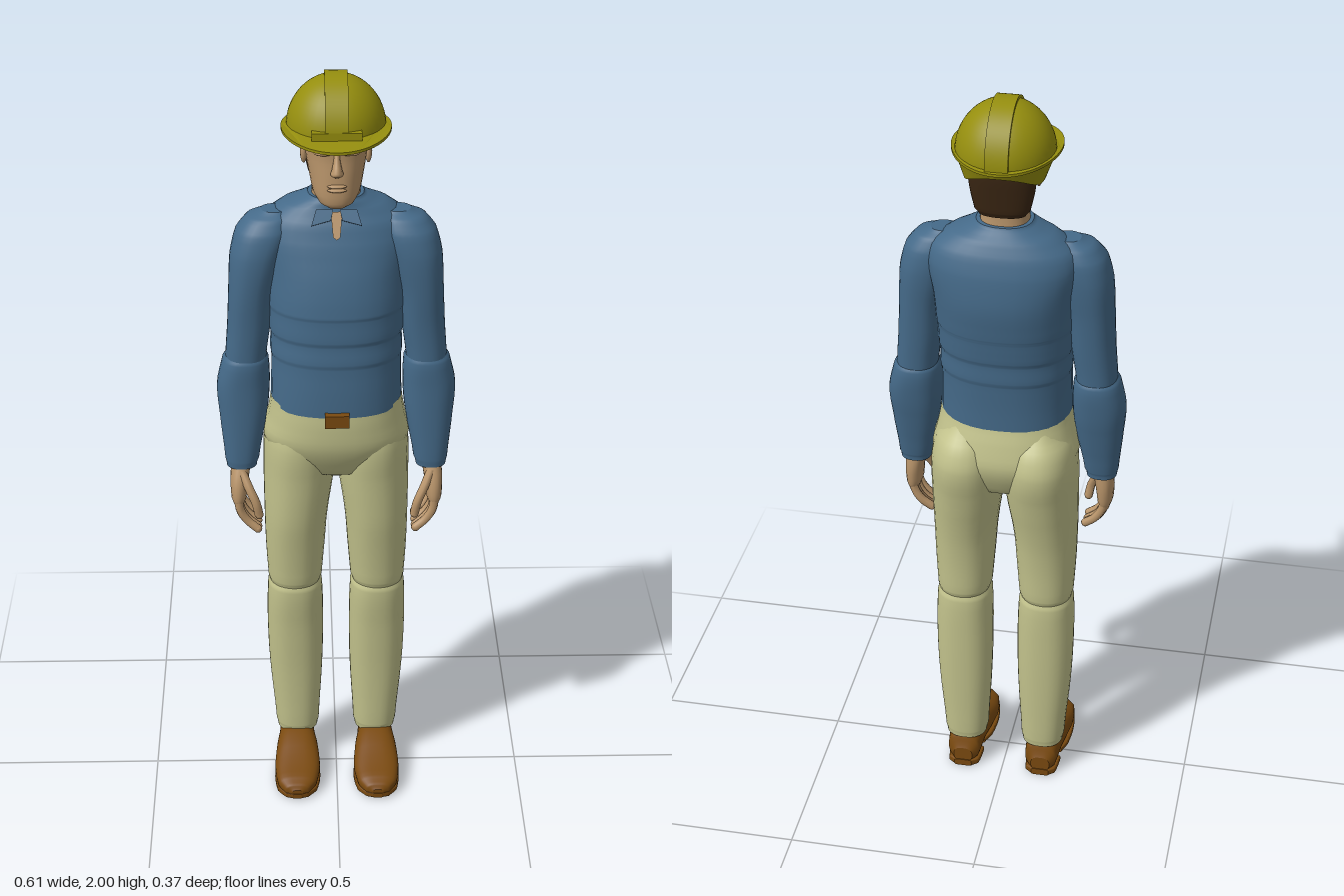
import * as THREE from 'three';

const mat = (name, color, side = THREE.FrontSide) => {
  const m = new THREE.MeshStandardMaterial({ color, side });
  m.name = name;
  return m;
};

// Catmull-Rom blend of one component
const blend = (a, b, c, d, t) =>
  0.5 * (2 * b + (c - a) * t + (2 * a - 5 * b + 4 * c - d) * t * t + (3 * b - a - 3 * c + d) * t * t * t);

// Loft through sections [t, x0, x1, v0, v1]. Along y, v is z; along z, v is y.
// side -1 mirrors in x; exp is the squareness of the cross-section.
function loft(sections, { side = 1, exp = 2.3, along = 'y', steps = 4, seg = 32 } = {}) {
  const S = sections.map(([t, a, b, c, d]) => (side < 0 ? [t, -b, -a, c, d] : [t, a, b, c, d]));
  const rows = [];
  for (let i = 0; i < S.length - 1; i++)
    for (let k = 0; k < steps; k++) {
      const q = [S[Math.max(i - 1, 0)], S[i], S[i + 1], S[Math.min(i + 2, S.length - 1)]];
      rows.push(S[i].map((_, c) => (c === 0
        ? S[i][0] + (S[i + 1][0] - S[i][0]) * k / steps
        : blend(q[0][c], q[1][c], q[2][c], q[3][c], k / steps))));
    }
  rows.push(S[S.length - 1]);
  const pos = [], idx = [];
  const put = (x, t, v) => (along === 'y' ? pos.push(x, t, v) : pos.push(x, v, t));
  const flip = along === 'y' ? 1 : -1;
  const ring = ([t, x0, x1, v0, v1]) => {
    for (let i = 0; i < seg; i++) {
      const a = i / seg * Math.PI * 2, c = Math.cos(a), s = Math.sin(a), p = 2 / exp;
      put((x0 + x1) / 2 + (x1 - x0) / 2 * Math.sign(c) * Math.abs(c) ** p, t,
        (v0 + v1) / 2 + flip * (v1 - v0) / 2 * Math.sign(s) * Math.abs(s) ** p);
    }
  };
  rows.forEach(ring);
  for (let j = 0; j < rows.length - 1; j++)
    for (let i = 0; i < seg; i++) {
      const n = (i + 1) % seg, a = j * seg + i, b = j * seg + n;
      idx.push(a, a + seg, b, b, a + seg, b + seg);
    }
  // end caps
  [rows[0], rows[rows.length - 1]].forEach((r, top) => {
    const base = pos.length / 3;
    ring(r);
    put((r[1] + r[2]) / 2, r[0], (r[3] + r[4]) / 2);
    for (let i = 0; i < seg; i++) {
      const a = base + i, b = base + (i + 1) % seg;
      top ? idx.push(base + seg, b, a) : idx.push(base + seg, a, b);
    }
  });
  const g = new THREE.BufferGeometry();
  g.setAttribute('position', new THREE.Float32BufferAttribute(pos, 3));
  g.setIndex(idx);
  g.computeVertexNormals();
  return g;
}

const sym = rows => rows.map(([t, w, a, b]) => [t, -w, w, a, b]);

export function createModel() {
  const model = new THREE.Group();
  const yellow = mat('helmet yellow', 0x958e0e, THREE.DoubleSide);
  const blue = mat('shirt blue', 0x456a89);
  const khaki = mat('trouser khaki', 0xc2c28c);
  const skin = mat('skin', 0xb8946a, THREE.DoubleSide);
  const brown = mat('leather brown', 0x7a4a10);
  const dark = mat('hair brown', 0x3a2613);
  const blueFlat = mat('collar blue', 0x456a89, THREE.DoubleSide);
  const add = (name, geo, m, parent = model) => {
    const mesh = new THREE.Mesh(geo, m);
    mesh.name = name;
    parent.add(mesh);
    return mesh;
  };

  // Torso with soft folds at the waist
  add('shirtBody', loft(sym([
    [1.14, .168, -.146, .108], [1.2, .166, -.147, .106], [1.27, .165, -.151, .102], [1.285, .168, -.155, .104],
    [1.33, .166, -.156, .100], [1.345, .170, -.161, .103], [1.4, .171, -.168, .100], [1.415, .174, -.172, .101],
    [1.5, .178, -.182, .085], [1.58, .190, -.175, .06], [1.63, .178, -.16, .04],
    [1.665, .132, -.14, .022], [1.685, .085, -.12, .018], [1.695, .07, -.112, .014]])), blue);

  // Pelvis and belt buckle
  add('trouserHips', loft(sym([
    [.92, .05, -.09, .01], [.95, .12, -.14, .06], [1.03, .187, -.172, .1],
    [1.1, .177, -.16, .108], [1.155, .168, -.143, .106]])), khaki);
  add('buckle', new THREE.BoxGeometry(.062, .034, .03), brown).position.set(0, 1.138, .111);

  for (const side of [1, -1]) {
    const limb = new THREE.Group();
    limb.name = side > 0 ? 'leftLimbs' : 'rightLimbs';
    model.add(limb);

    // Sleeves
    add('upperSleeve', loft([
      [1.25, .178, .282, -.085, .032], [1.35, .165, .275, -.092, .036], [1.45, .155, .27, -.1, .044],
      [1.54, .13, .265, -.108, .046], [1.6, .11, .25, -.105, .036], [1.635, .11, .222, -.09, .015],
      [1.652, .12, .185, -.07, -.01]], { side }), blue, limb);
    add('foreSleeve', loft([
      [.955, .206, .284, -.04, .036], [.975, .2, .288, -.045, .038], [1.1, .178, .3, -.07, .037],
      [1.18, .17, .305, -.085, .036], [1.25, .172, .29, -.09, .036], [1.275, .185, .272, -.075, .025]], { side }), blue, limb);

    // Hand with curled fingers
    add('palm', loft([
      [.845, .243, .266, -.02, .05], [.87, .234, .274, -.03, .06], [.92, .228, .276, -.035, .052],
      [.98, .218, .27, -.03, .025]], { side, seg: 20 }), skin, limb);
    const digit = (name, pts, r) => {
      const path = new THREE.CatmullRomCurve3(pts.map(([x, y, z]) => new THREE.Vector3(x * side, y, z)));
      add(name, new THREE.TubeGeometry(path, 10, r, 8), skin, limb);
      add(name + 'Tip', new THREE.SphereGeometry(r, 8, 6), skin, limb).position.copy(path.getPoint(1));
    };
    [.048, .027, .005, -.016].forEach((z, i) => {
      const up = [.004, 0, .004, .016][i];
      digit('finger', [[.255, .88, z], [.25, .835 + up, z], [.232, .805 + up, z], [.206, .783 + up, z + .004]], .0115);
    });
    digit('thumb', [[.245, .945, .03], [.225, .905, .055], [.209, .87, .065], [.202, .835, .063]], .0115);

    // Trouser leg
    add('thigh', loft([
      [.575, .046, .176, -.114, .028], [.6, .038, .182, -.122, .036], [.7, .03, .187, -.128, .05],
      [.8, .022, .189, -.142, .066], [.93, .004, .19, -.17, .077], [1.02, .002, .188, -.187, .085],
      [1.08, .012, .176, -.17, .075], [1.13, .04, .145, -.13, .05]], { side, exp: 2.2 }), khaki, limb);
    add('shin', loft([
      [.095, .052, .162, -.11, -.002], [.115, .048, .166, -.113, .002], [.3, .038, .181, -.119, .01],
      [.45, .035, .186, -.122, .022], [.57, .038, .183, -.122, .034], [.6, .05, .172, -.112, .025]], { side }), khaki, limb);

    // Shoe, sole and heel
    add('shoe', loft([
      [-.117, .083, .135, .014, .06], [-.1, .065, .152, .01, .1], [-.03, .06, .158, .01, .108],
      [.02, .052, .165, .01, .1], [.09, .047, .17, .008, .074], [.15, .058, .162, .008, .056],
      [.176, .077, .143, .01, .044], [.184, .095, .125, .014, .032]], { side, along: 'z', exp: 2.6 }), brown, limb);
    add('sole', loft([
      [-.02, .066, .154, .004, .018], [.02, .052, .166, 0, .018], [.09, .046, .171, 0, .018],
      [.15, .056, .163, .002, .02], [.178, .078, .142, .004, .02], [.186, .098, .122, .006, .02]], { side, along: 'z', exp: 6 }), brown, limb);
    add('heel', loft([
      [-.119, .085, .133, 0, .02], [-.105, .067, .15, 0, .02], [-.05, .062, .156, 0, .02]],
    { side, along: 'z', exp: 6 }), brown, limb);

    // Ear, brow and collar wing
    const ear = add('ear', new THREE.SphereGeometry(1, 12, 10), skin);
    ear.scale.set(.009, .03, .018);
    ear.position.set(.079 * side, 1.805, -.03);
    const brow = add('brow', new THREE.SphereGeometry(1, 12, 8), skin);
    brow.scale.set(.024, .007, .012);
    brow.position.set(.032 * side, 1.837, .069);
    const wing = new THREE.Shape([[.008, .045], [.05, .045], [.062, .005], [.014, .018]]
      .map(([x, y]) => new THREE.Vector2(x * side, y)));
    const flap = add('collarWing', new THREE.ExtrudeGeometry(wing, { depth: .006, bevelEnabled: false }), blueFlat);
    flap.rotation.x = -.5;
    flap.position.set(0, 1.633, .046);
  }

  // Open neckline
  const vee = add('neckOpening', new THREE.ShapeGeometry(new THREE.Shape(
    [[-.014, .04], [-.009, -.022], [0, -.03], [.009, -.022], [.014, .04]].map(p => new THREE.Vector2(...p)))), skin);
  vee.rotation.x = -.45;
  vee.position.set(0, 1.633, .046);

  // Neck and head
  add('neck', loft(sym([[1.64, .066, -.108, .008], [1.7, .06, -.102, .01], [1.76, .058, -.1, .015]])), skin);
  add('head', loft(sym([
    [1.692, .022, .028, .066], [1.702, .042, -.01, .076], [1.725, .058, -.06, .079], [1.77, .068, -.1, .077],
    [1.82, .076, -.11, .073], [1.88, .08, -.115, .076], [1.93, .07, -.1, .06]])), skin);
  add('nose', loft(sym([
    [1.778, .008, .06, .085], [1.786, .016, .06, .1], [1.796, .013, .06, .102],
    [1.82, .008, .06, .088], [1.84, .007, .06, .078]]), { exp: 2, seg: 14 }), skin);
  [1.754, 1.744].forEach(y => {
    const lip = add('lip', new THREE.SphereGeometry(1, 14, 8), skin);
    lip.scale.set(.024, .005, .009);
    lip.position.set(0, y, .077);
  });
  add('hair', loft(sym([
    [1.722, .058, -.112, -.055], [1.735, .068, -.118, -.048], [1.78, .078, -.124, -.042],
    [1.83, .084, -.13, -.035], [1.88, .086, -.13, -.03]])), dark);

  // Safety helmet: dome, ridge, drooping rim, brim and front plate
  const helmet = new THREE.Group();
  helmet.name = 'helmet';
  helmet.position.set(0, 1.865, -.04);
  model.add(helmet);
  add('dome', new THREE.SphereGeometry(1, 40, 16, 0, Math.PI * 2, 0, Math.PI / 2), yellow, helmet).scale.set(.122, .131, .121);
  const ridge = new THREE.CylinderGeometry(1, 1, .056, 40, 1, false, 0, Math.PI).rotateZ(Math.PI / 2);
  add('ridge', ridge, yellow, helmet).scale.set(1, .135, .125);
  add('frontPlate', new THREE.BoxGeometry(.12, .022, .022), yellow, helmet).position.set(0, .016, .114);

  const rim = new THREE.CylinderGeometry(1, 1, 1, 40, 4, true);
  const rp = rim.attributes.position;
  for (let i = 0; i < rp.count; i++) {
    const f = .5 - rp.getY(i), x = rp.getX(i), z = rp.getZ(i);
    const drop = .012 + .05 * Math.exp(-(((z + .4) / .6) ** 2));
    rp.setXYZ(i, x * (.122 - .02 * f), .005 - f * drop, z * (.121 - .015 * f));
  }
  rim.computeVertexNormals();
  add('rim', rim, yellow, helmet);

  const outline = new THREE.Shape().absellipse(0, -.025, .134, .158, 0, Math.PI * 2);
  outline.holes.push(new THREE.Path().absellipse(0, 0, .118, .117, 0, Math.PI * 2, true));
  const brim = new THREE.ExtrudeGeometry(outline, { depth: .007, bevelEnabled: false, curveSegments: 48 }).rotateX(-Math.PI / 2);
  const bp = brim.attributes.position;
  for (let i = 0; i < bp.count; i++)
    bp.setY(i, bp.getY(i) - .006 + .012 * (1 - ((bp.getZ(i) - .025) / .158) ** 2));
  brim.computeVertexNormals();
  add('brim', brim, yellow, helmet);

  return model;
}
